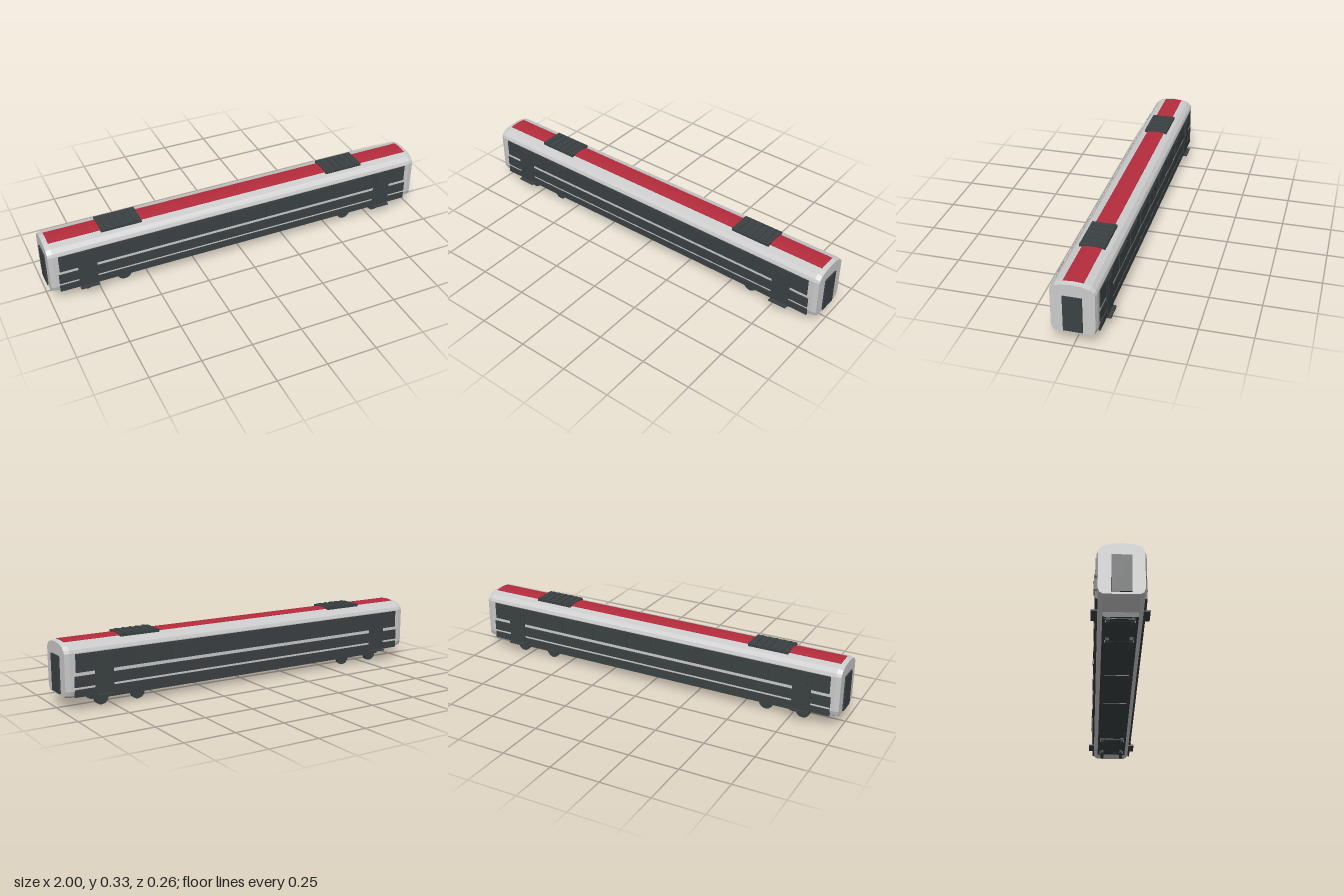
import * as THREE from 'three';

const grey = new THREE.MeshStandardMaterial({ color: 0xcccccc, flatShading: true });
const dark = new THREE.MeshStandardMaterial({ color: 0x3b4143, flatShading: true });
const red = new THREE.MeshStandardMaterial({ color: 0xb52c3c, flatShading: true });

// Right half of the coach cross-section as [z, y], from floor to roof ridge
const half = [[0.078, 0.065], [0.094, 0.075], [0.1, 0.095], [0.1, 0.27], [0.095, 0.283], [0.078, 0.299], [0.043, 0.309], [0, 0.312]];

function mesh(parent, name, geometry, material) {
  const m = new THREE.Mesh(geometry, material);
  m.name = name;
  parent.add(m);
  return m;
}

// Box given by its limits on each axis
function box(parent, name, x0, x1, y0, y1, z0, z1, material = dark) {
  const g = new THREE.BoxGeometry(x1 - x0, y1 - y0, Math.abs(z1 - z0));
  g.translate((x0 + x1) / 2, (y0 + y1) / 2, (z0 + z1) / 2);
  return mesh(parent, name, g, material);
}

// Symmetric section swept along x and centred
function sweep(points, length, bevel, inset) {
  const mirrored = points.slice(0, -1).reverse().map(([z, y]) => [-z, y]);
  const shape = new THREE.Shape([...points, ...mirrored].map(([z, y]) => new THREE.Vector2(z, y)));
  const depth = length - 2 * bevel;
  const g = new THREE.ExtrudeGeometry(shape, {
    depth, bevelEnabled: bevel > 0, bevelThickness: bevel, bevelSize: inset, bevelSegments: 1,
  });
  g.translate(0, 0, -depth / 2);
  g.rotateY(Math.PI / 2);
  return g;
}

function makeSide(s) {
  const side = new THREE.Group();
  side.name = s > 0 ? 'frontSide' : 'backSide';
  const panel = (name, x0, x1, y0, y1, out) => box(side, name, x0, x1, y0, y1, s * 0.1, s * out);

  // Window band and the two lower bands, leaving pale stripes between
  panel('windowBand', -0.945, 0.942, 0.18, 0.267, 0.109);
  panel('middleBand', -0.952, 0.95, 0.111, 0.163, 0.109);
  panel('skirtBand', -0.952, 0.95, 0.065, 0.1, 0.109);

  // Windows
  for (let i = -3; i <= 3; i++) {
    panel('window', i * 0.193 - 0.066, i * 0.193 + 0.066, 0.186, 0.26, 0.113);
  }
  panel('windowLatch', -0.012, 0.012, 0.215, 0.235, 0.116);

  // Passenger doors with a window, handle and step
  for (const x of [-0.81, 0.803]) {
    panel('door', x - 0.046, x + 0.046, 0.065, 0.264, 0.112);
    panel('doorWindow', x - 0.028, x + 0.028, 0.175, 0.25, 0.116);
    box(side, 'step', x - 0.046, x + 0.046, 0.06, 0.067, s * 0.1, s * 0.128);
  }
  return side;
}

function makeBogie(x) {
  const bogie = new THREE.Group();
  bogie.name = 'bogie';
  bogie.position.x = x;
  box(bogie, 'bogieFrame', -0.12, 0.12, 0.033, 0.05, -0.044, 0.044);
  for (const s of [-1, 1]) {
    box(bogie, 'bogieSideBeam', -0.12, 0.12, 0.036, 0.05, s * 0.062, s * 0.07);
  }
  for (const ax of [-0.094, 0.094]) {
    const axle = mesh(bogie, 'axle', new THREE.CylinderGeometry(0.007, 0.007, 0.13, 8).rotateX(Math.PI / 2), dark);
    axle.position.set(ax, 0.036, 0);
    for (const s of [-1, 1]) {
      const wheel = mesh(bogie, 'wheel', new THREE.CylinderGeometry(0.036, 0.036, 0.016, 20).rotateX(Math.PI / 2), dark);
      wheel.position.set(ax, 0.036, s * 0.054);
      box(bogie, 'axleBox', ax - 0.012, ax + 0.012, 0.024, 0.05, s * 0.062, s * 0.067);
    }
  }
  return bogie;
}

function makeRoofUnit(x) {
  const unit = new THREE.Group();
  unit.name = 'roofUnit';
  unit.position.x = x;
  box(unit, 'unitHousing', -0.102, 0.102, 0.305, 0.323, -0.06, 0.06);
  for (let i = -2; i <= 2; i++) {
    box(unit, 'slat', i * 0.036 - 0.006, i * 0.036 + 0.006, 0.322, 0.327, -0.054, 0.054);
  }
  return unit;
}

export function createModel() {
  const coach = new THREE.Group();
  coach.name = 'railwayCoach';

  // Body shell with chamfered ends
  mesh(coach, 'bodyShell', sweep(half, 1.986, 0.024, 0.005), grey);

  // Coloured roof strip following the roof curve
  const strip = [[0.046, 0.305], [0.046, 0.3155], [0.022, 0.3185], [0, 0.3195]];
  mesh(coach, 'roofStrip', sweep(strip, 1.94, 0, 0), red);

  // Gangway doors at both ends
  for (const s of [-1, 1]) {
    const door = box(coach, 'gangwayDoor', -0.008, 0.008, 0.075, 0.252, -0.044, 0.044);
    door.position.x = s * 0.992;
  }

  coach.add(makeSide(1), makeSide(-1));

  // Underframe
  box(coach, 'underframe', -0.845, 0.845, 0.037, 0.064, -0.078, 0.078);
  for (const x of [-0.17, 0.17]) {
    box(coach, 'equipmentBox', x - 0.09, x + 0.09, 0.033, 0.04, -0.06, 0.06);
  }

  coach.add(makeBogie(-0.713), makeBogie(0.707));
  coach.add(makeRoofUnit(-0.615), makeRoofUnit(0.593));
  return coach;
}
